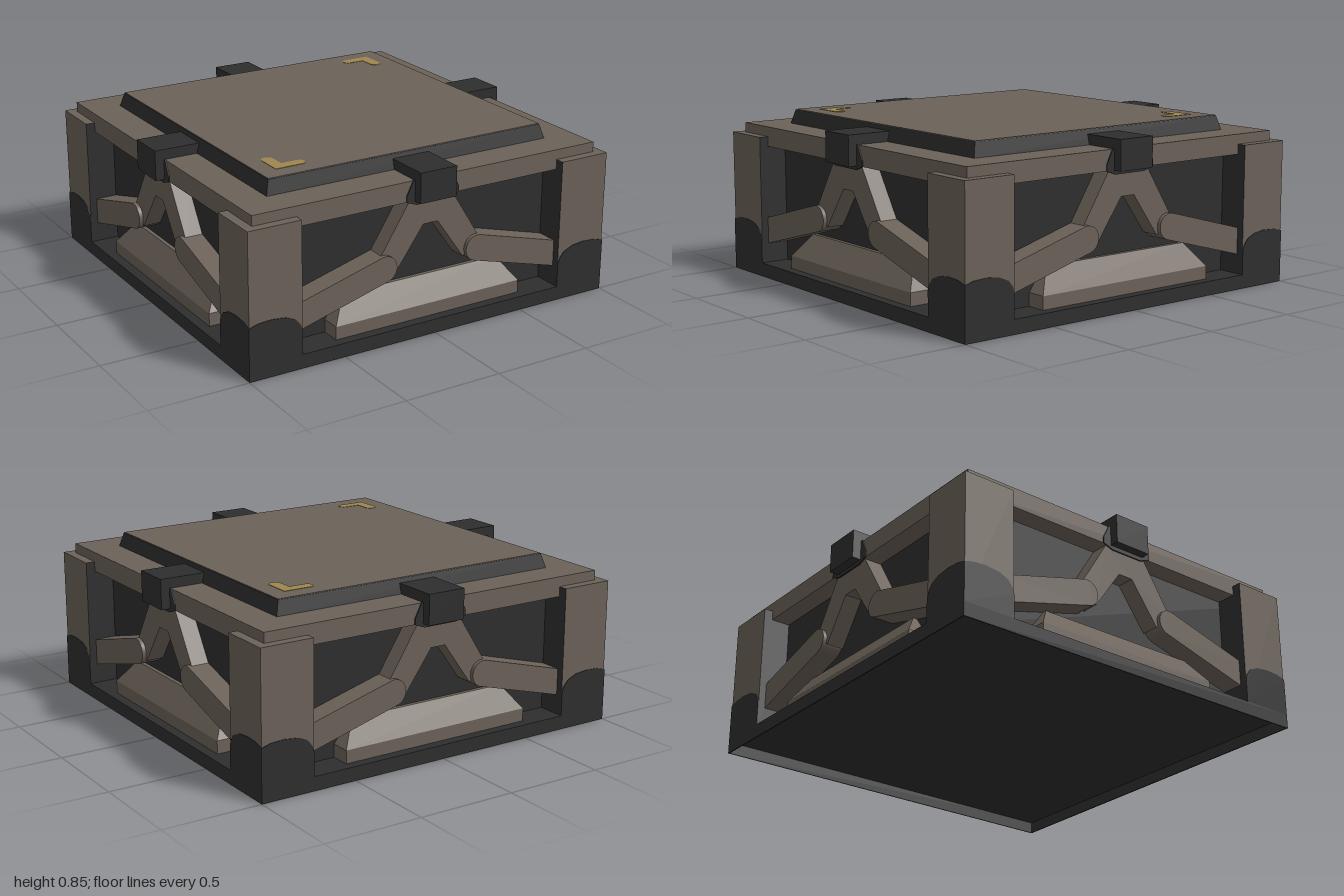
import * as THREE from 'three';

const brown = new THREE.MeshStandardMaterial({ color: 0x6b6158 });
brown.name = 'brown plating';
const dark = new THREE.MeshStandardMaterial({ color: 0x2e2e2e });
dark.name = 'dark metal';
const yellow = new THREE.MeshStandardMaterial({ color: 0x9c8650 });
yellow.name = 'yellow paint';

function add(parent, name, geometry, material) {
  const mesh = new THREE.Mesh(geometry, material);
  mesh.name = name;
  parent.add(mesh);
  return mesh;
}

// Box given by its lower and upper limits on each axis
function box(x0, x1, y0, y1, z0, z1) {
  return new THREE.BoxGeometry(x1 - x0, y1 - y0, z1 - z0)
    .translate((x0 + x1) / 2, (y0 + y1) / 2, (z0 + z1) / 2);
}

// Flat outline pushed from z0 to z1
function slab(points, z0, z1) {
  const shape = new THREE.Shape(points.map(([x, y]) => new THREE.Vector2(x, y)));
  return new THREE.ExtrudeGeometry(shape, { depth: z1 - z0, bevelEnabled: false }).translate(0, 0, z0);
}

// Narrows a geometry's upper vertices: x and z are scaled or shifted by a rule
function reshape(geometry, rule) {
  const p = geometry.attributes.position;
  for (let i = 0; i < p.count; i++) {
    const v = new THREE.Vector3().fromBufferAttribute(p, i);
    rule(v);
    p.setXYZ(i, v.x, v.y, v.z);
  }
  geometry.computeVertexNormals();
  return geometry;
}

// Sloping strut, rounded at its inner end
function strutGeometry() {
  const s = new THREE.Shape();
  const r = 0.065, length = 0.5;
  s.moveTo(length, r);
  s.lineTo(0, r);
  s.absarc(0, 0, r, Math.PI / 2, Math.PI * 1.5, false);
  s.lineTo(length, -r);
  return new THREE.ExtrudeGeometry(s, { depth: 0.11, bevelEnabled: false, curveSegments: 10 })
    .rotateZ(-0.27).translate(0.26, 0.365, 0.85);
}

// One of the four identical sides, built facing +z
function createSide() {
  const side = new THREE.Group();
  side.name = 'side';

  add(side, 'baseRim', box(-1, 1, 0, 0.07, 0.994, 1), dark);

  // Corner post: plated outside, dark on the inner faces
  add(side, 'cornerPost', box(0.725, 0.997, 0.07, 0.72, 0.725, 0.997),
    [brown, dark, brown, dark, brown, dark]);

  // Arched dark feet on both outer faces at this side
  const foot = [[0.725, 0.07], [1, 0.07], [1, 0.262], [0.95, 0.276], [0.88, 0.28],
    [0.81, 0.272], [0.76, 0.25], [0.735, 0.22], [0.725, 0.19]];
  add(side, 'postFootRight', slab(foot, 0.996, 1), dark);
  add(side, 'postFootLeft', slab(foot.map(([x, y]) => [-x, y]).reverse(), 0.996, 1), dark);

  // Clamp block and the dark patch spreading from it over the frame
  add(side, 'clamp', box(-0.1, 0.1, 0.67, 0.82, 0.76, 1), dark);
  add(side, 'clampPatch', slab([[-0.145, 0.67], [-0.09, 0.65], [0.09, 0.65],
    [0.145, 0.67], [0.145, 0.7], [0.11, 0.772], [-0.11, 0.772], [-0.145, 0.7]], 0.948, 0.955), dark);

  // Forked brace below the clamp
  add(side, 'brace', slab([[-0.12, 0.67], [-0.29, 0.4], [-0.19, 0.33], [-0.04, 0.54],
    [0.04, 0.54], [0.19, 0.33], [0.29, 0.4], [0.12, 0.67]], 0.84, 0.94), brown);

  // Mirrored struts
  add(side, 'strutLeft', strutGeometry(), brown);
  add(side, 'strutRight', strutGeometry().rotateY(Math.PI).translate(0, 0, 1.81), brown);

  // Ledge with a sloping upper part
  add(side, 'ledge', box(-0.52, 0.52, 0.07, 0.135, 0.84, 0.95), brown);
  add(side, 'ledgeSlope', reshape(box(-0.52, 0.52, 0.135, 0.25, 0.84, 0.95), (v) => {
    if (v.y < 0.2) return;
    v.x *= 0.84;
    if (v.z > 0.9) v.z = 0.87;
  }), brown);
  return side;
}

export function createModel() {
  const model = new THREE.Group();
  model.name = 'armouredCrate';

  add(model, 'baseFloor', box(-0.996, 0.996, 0.06, 0.07, -0.996, 0.996), dark);
  add(model, 'core', box(-0.85, 0.85, 0.07, 0.68, -0.85, 0.85), dark);
  add(model, 'topFrame', box(-0.95, 0.95, 0.67, 0.77, -0.95, 0.95), brown);

  // Lid with bevelled dark edge and brown panel
  add(model, 'lidEdge', reshape(box(-0.78, 0.78, 0.77, 0.84, -0.78, 0.78), (v) => {
    if (v.y > 0.8) { v.x *= 0.975; v.z *= 0.975; }
  }), dark);
  add(model, 'lidPanel', box(-0.758, 0.758, 0.838, 0.844, -0.758, 0.758), brown);

  // Painted corner marks, with rounded ends
  for (const turn of [0, Math.PI]) {
    const mark = new THREE.Group();
    mark.name = 'cornerMark';
    const s = new THREE.Shape();
    s.moveTo(0.67, 0.67);
    s.lineTo(0.53, 0.67);
    s.absarc(0.53, 0.642, 0.028, Math.PI / 2, Math.PI * 1.5, false);
    s.lineTo(0.61, 0.614);
    s.lineTo(0.61, 0.54);
    s.absarc(0.64, 0.54, 0.03, Math.PI, Math.PI * 2, false);
    const g = new THREE.ExtrudeGeometry(s, { depth: 0.003, bevelEnabled: false, curveSegments: 8 });
    add(mark, 'paint', g.rotateX(-Math.PI / 2).translate(0, 0.843, 0), yellow);
    mark.rotation.y = turn;
    model.add(mark);
  }

  for (let i = 0; i < 4; i++) {
    const side = createSide();
    side.rotation.y = i * Math.PI / 2;
    model.add(side);
  }
  return model;
}
